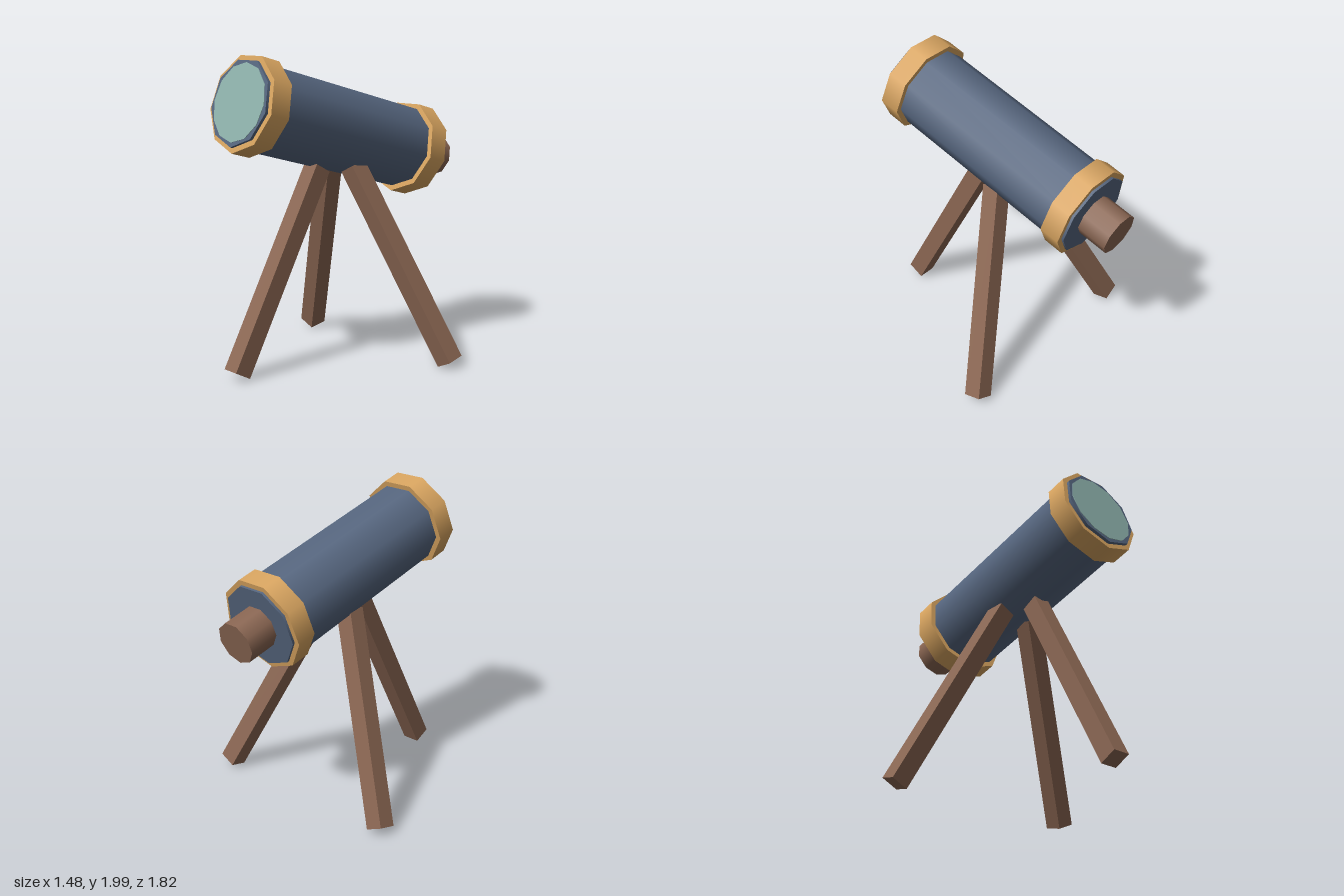
import * as THREE from 'three';

const material = (name, color) => {
  const m = new THREE.MeshStandardMaterial({ color });
  m.name = name;
  return m;
};

export function createModel() {
  const slate = material('slateBlue', 0x56667f);
  const brass = material('brass', 0xd9a560);
  const wood = material('brownWood', 0x8a6652);
  const glass = material('paleGlass', 0x8fb3ad);

  const model = new THREE.Group();
  model.name = 'telescope';

  // Barrel assembly: local +y points out of the front lens
  const barrel = new THREE.Group();
  barrel.name = 'barrel';
  barrel.position.set(0, 1.52, 0.072);
  barrel.rotation.x = THREE.MathUtils.degToRad(75);
  model.add(barrel);

  const addCylinder = (name, mat, radius, length, y, sides = 9) => {
    const mesh = new THREE.Mesh(new THREE.CylinderGeometry(radius, radius, length, sides), mat);
    mesh.name = name;
    mesh.position.y = y;
    barrel.add(mesh);
  };
  addCylinder('tube', slate, 0.275, 1.546, 0);
  addCylinder('frontRing', brass, 0.31, 0.137, 0.685);
  addCylinder('rearRing', brass, 0.31, 0.137, -0.688);
  addCylinder('eyepiece', wood, 0.14, 0.24, -0.86);
  addCylinder('lens', glass, 0.246, 0.008, 0.773, 12);

  // Tripod: three square legs splayed evenly below the barrel
  const tripod = new THREE.Group();
  tripod.name = 'tripod';
  tripod.position.z = 0.072;
  model.add(tripod);

  const up = new THREE.Vector3(0, 1, 0);
  ['frontLeg', 'backLeftLeg', 'backRightLeg'].forEach((name, i) => {
    const a = (i * Math.PI * 2) / 3;
    const at = (r, y) => new THREE.Vector3(r * Math.sin(a), y, r * Math.cos(a));
    const top = at(0.135, 1.277);
    const foot = at(0.79, 0.04);
    const leg = new THREE.Mesh(new THREE.BoxGeometry(0.12, top.distanceTo(foot), 0.12), wood);
    leg.name = name;
    leg.position.addVectors(top, foot).multiplyScalar(0.5);
    leg.quaternion.setFromUnitVectors(up, top.clone().sub(foot).normalize());
    tripod.add(leg);
  });

  return model;
}
